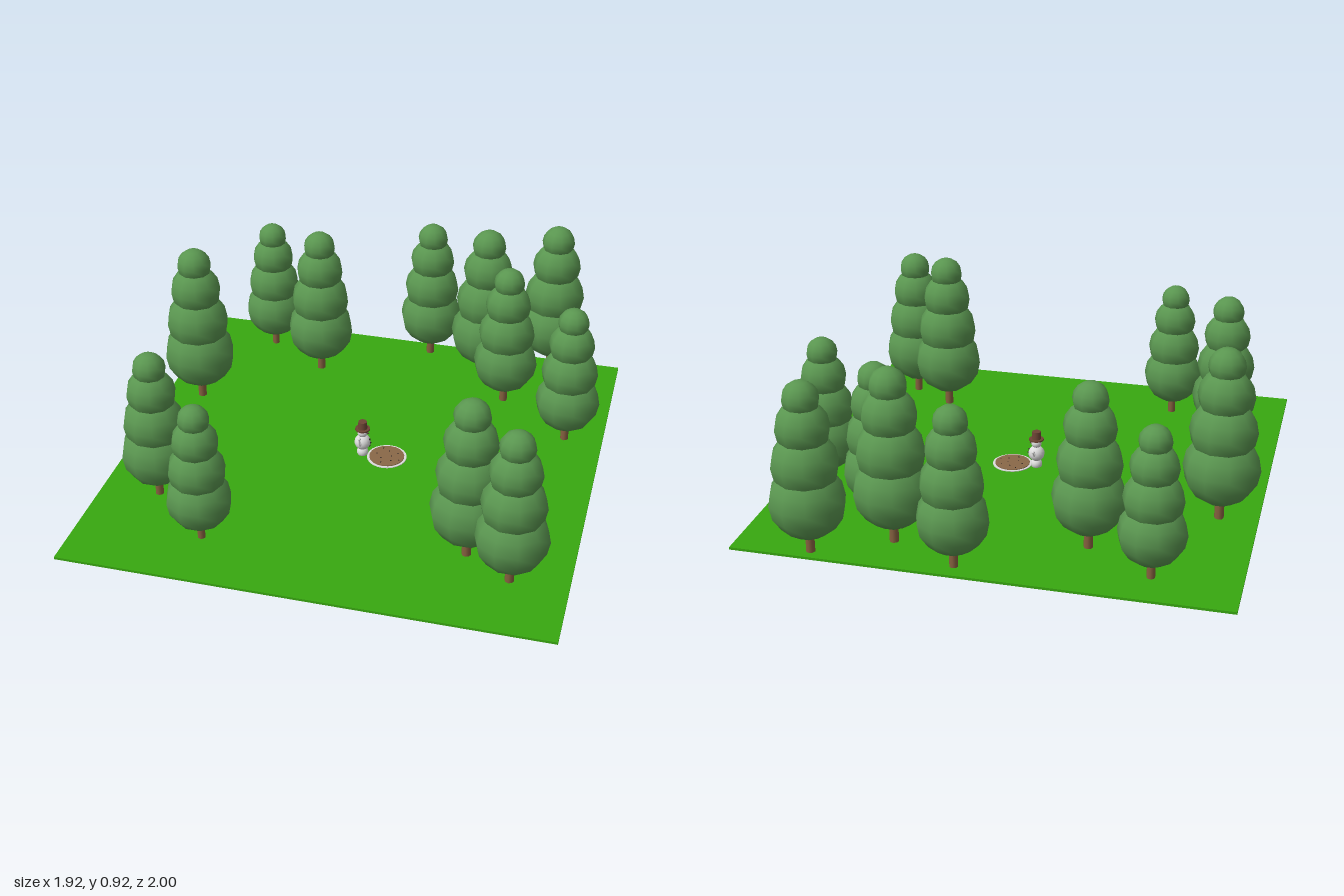
import * as THREE from 'three';

const mat = (name, color) => {
  const m = new THREE.MeshStandardMaterial({ color });
  m.name = name;
  return m;
};

export function createModel() {
  const model = new THREE.Group();
  const grass = mat('grass green', 0x38a810);
  const leaf = mat('leaf green', 0x5a9650);
  const bark = mat('bark brown', 0x85603f);
  const stumpWood = mat('stump brown', 0x8a6848);
  const snow = mat('snow white', 0xdcdcdc);
  const hatBrown = mat('hat brown', 0x6e4535);
  const coal = mat('coal', 0x2a2422);

  const add = (parent, name, geo, material, x, y, z) => {
    const m = new THREE.Mesh(geo, material);
    m.name = name;
    m.position.set(x, y, z);
    parent.add(m);
    return m;
  };
  const group = (name, x, y, z) => {
    const g = new THREE.Group();
    g.name = name;
    g.position.set(x, y, z);
    model.add(g);
    return g;
  };

  // Lawn slab
  add(model, 'lawn', new THREE.BoxGeometry(1.92, 0.01, 1.92), grass, 0, 0.195, 0.04);

  // Trees: x, z, height above the lawn
  const trees = [
    [-0.625, -0.755, 0.61], [-0.357, -0.59, 0.68], [0.095, -0.85, 0.65], [0.37, -0.72, 0.715],
    [0.65, -0.87, 0.695], [0.495, -0.525, 0.645], [0.8, -0.285, 0.625], [-0.805, -0.235, 0.715],
    [-0.72, 0.51, 0.65], [-0.46, 0.74, 0.6], [0.55, 0.59, 0.695], [0.735, 0.705, 0.665],
  ];
  // Foliage tiers of a full-size tree: centre height, radius
  const tiers = [[0.218, 0.153], [0.375, 0.134], [0.525, 0.108], [0.642, 0.073]];
  const ball = new THREE.SphereGeometry(1, 10, 8);
  const trunk = new THREE.CylinderGeometry(0.018, 0.019, 0.16, 8);
  for (const [x, z, h] of trees) {
    const tree = group('tree', x, 0.2, z);
    tree.scale.setScalar(h / 0.715);
    add(tree, 'trunk', trunk, bark, 0, 0.076, 0);
    for (const [y, r] of tiers) {
      add(tree, 'foliageTier', ball, leaf, 0, y, 0).scale.set(r, r, r * 0.95);
    }
  }

  // Stump running down through the lawn, with a pale rim on top
  const stump = group('stump', 0.104, 0, 0.038);
  add(stump, 'stumpBody', new THREE.CylinderGeometry(0.073, 0.09, 0.204, 20), stumpWood, 0, 0.102, 0);
  add(stump, 'stumpRim', new THREE.CylinderGeometry(0.083, 0.083, 0.006, 24), snow, 0, 0.2, 0);
  add(stump, 'stumpTop', new THREE.CylinderGeometry(0.073, 0.073, 0.006, 20), stumpWood, 0, 0.203, 0);
  add(stump, 'root', new THREE.SphereGeometry(0.02, 8, 6), stumpWood, -0.076, 0.02, 0);
  const dot = new THREE.CylinderGeometry(0.003, 0.003, 0.002, 6);
  for (let i = 0; i < 9; i++) {
    const a = i * 2.4, r = 0.02 * Math.sqrt(i + 1);
    add(stump, 'speck', dot, coal, r * Math.cos(a), 0.2065, r * Math.sin(a));
  }

  // Snowman facing +x
  const man = group('snowman', 0.0, 0.2, 0.038);
  const orb = new THREE.SphereGeometry(1, 16, 12);
  for (const [name, y, r] of [['base', 0.012, 0.024], ['body', 0.06, 0.034], ['head', 0.107, 0.022]]) {
    add(man, name, orb, snow, 0, y, 0).scale.setScalar(r);
  }
  add(man, 'hatBrim', new THREE.CylinderGeometry(0.031, 0.031, 0.006, 16), hatBrown, 0, 0.124, 0);
  add(man, 'hatCrown', new THREE.CylinderGeometry(0.018, 0.02, 0.034, 16), hatBrown, 0, 0.142, 0);
  for (const y of [0.045, 0.06, 0.075]) {
    add(man, 'button', orb, coal, Math.sqrt(0.034 ** 2 - (y - 0.06) ** 2), y, 0).scale.setScalar(0.004);
  }
  add(man, 'nose', new THREE.ConeGeometry(0.004, 0.014, 8), hatBrown, 0.026, 0.105, 0).rotation.z = -Math.PI / 2;

  // Eyes and arms, one raised higher than the other
  for (const s of [-1, 1]) {
    add(man, 'eye', orb, coal, 0.02, 0.112, s * 0.008).scale.setScalar(0.003);
    const hand = new THREE.Vector3(0, s > 0 ? 0.108 : 0.088, s * 0.057);
    const elbow = new THREE.Vector3(0, 0.066, s * 0.044);
    const curve = new THREE.CatmullRomCurve3([new THREE.Vector3(0, 0.07, s * 0.027), elbow, hand]);
    add(man, 'arm', new THREE.TubeGeometry(curve, 8, 0.004, 6), snow, 0, 0, 0);
    add(man, 'hand', orb, snow, hand.x, hand.y, hand.z).scale.setScalar(0.007);
  }
  return model;
}
